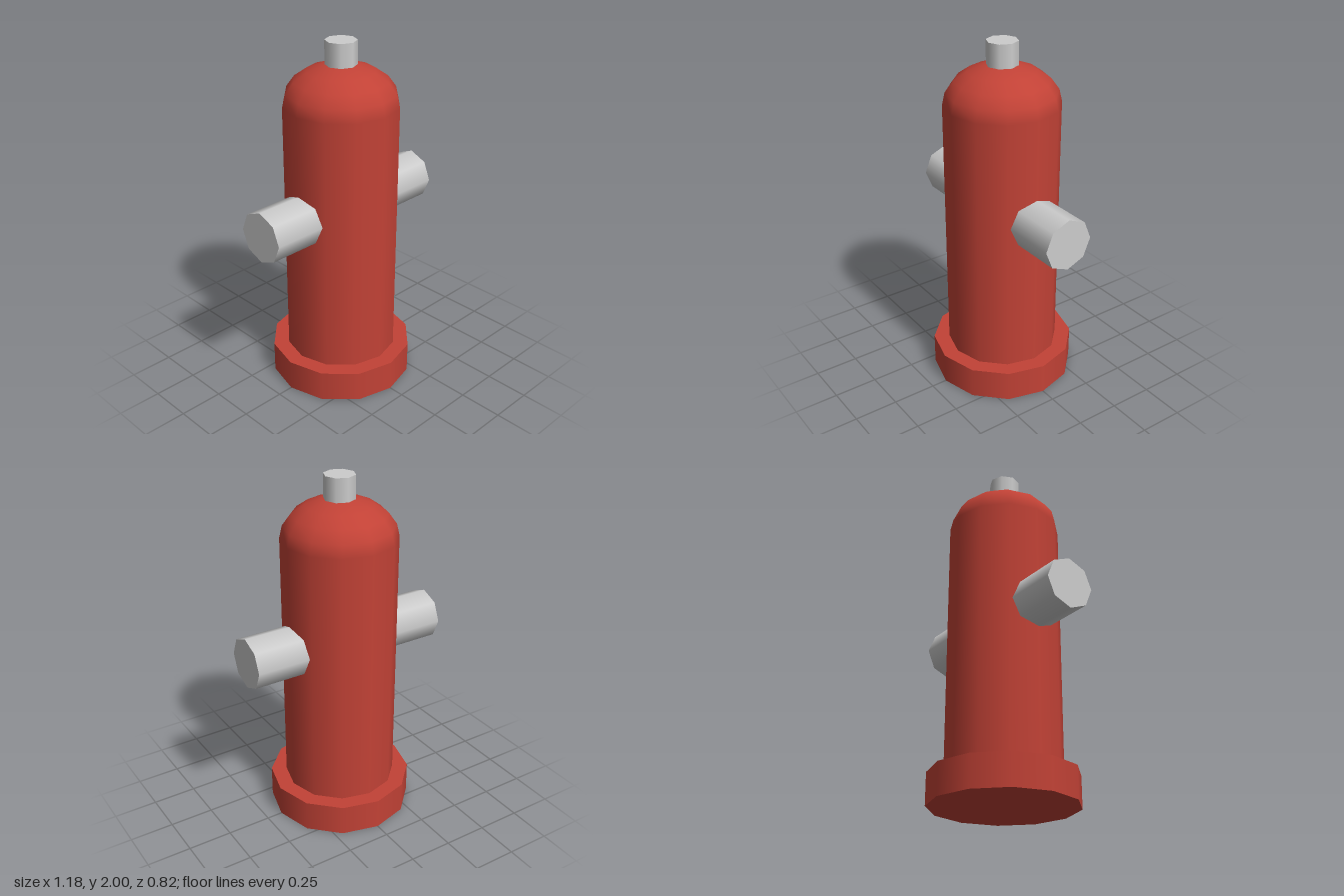
import * as THREE from 'three';

export function createModel() {
  const model = new THREE.Group();
  model.name = 'hydrant';
  const red = new THREE.MeshStandardMaterial({ color: 0xc24236 });
  const grey = new THREE.MeshStandardMaterial({ color: 0xcccccc });

  function add(name, geometry, material, x, y) {
    const mesh = new THREE.Mesh(geometry, material);
    mesh.name = name;
    mesh.position.set(x, y, 0);
    model.add(mesh);
    return mesh;
  }

  // Upright cylinder spanning bottom..top
  function post(name, radius, bottom, top, sides, material) {
    const geometry = new THREE.CylinderGeometry(radius, radius, top - bottom, sides);
    return add(name, geometry, material, 0, (bottom + top) / 2);
  }

  const bodyRadius = 0.32, bodyTop = 1.655;
  post('baseFlange', 0.41, 0, 0.18, 12, red);
  post('barrel', bodyRadius, 0.18, bodyTop, 12, red);

  // Flattened dome on the barrel
  const dome = new THREE.SphereGeometry(bodyRadius, 12, 5, 0, Math.PI * 2, 0, Math.PI / 2);
  dome.scale(1, 0.7, 1);
  add('dome', dome, red, 0, bodyTop);

  post('topNut', 0.087, 1.82, 2, 8, grey);

  // Side outlets, sunk into the barrel
  const inner = 0.2, outer = 0.588;
  for (const [name, side] of [['leftOutlet', 1], ['rightOutlet', -1]]) {
    const pipe = new THREE.CylinderGeometry(0.145, 0.145, outer - inner, 8);
    pipe.rotateZ(-side * Math.PI / 2);
    add(name, pipe, grey, side * (inner + outer) / 2, 1.062);
  }
  return model;
}
